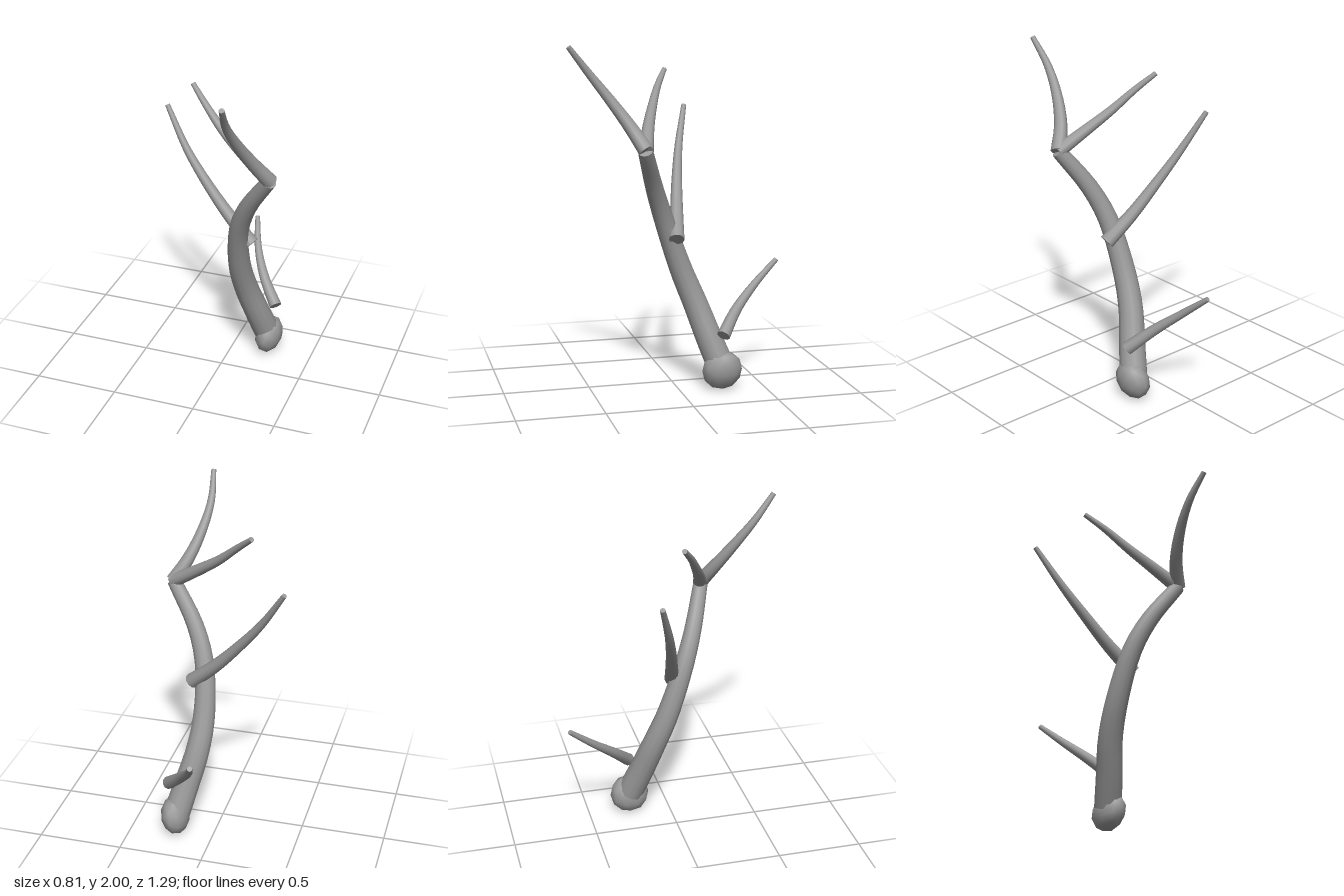
import * as THREE from 'three';
import { mergeGeometries, mergeVertices } from 'three/addons/utils/BufferGeometryUtils.js';

const material = new THREE.MeshStandardMaterial({ color: 0x999999 });

// Curved, tapering horn with flat end caps, through the given points
function horn(name, points, r0, r1, power = 1, sides = 10, rings = 14) {
  const curve = new THREE.CatmullRomCurve3(points.map(p => new THREE.Vector3(...p)), false, 'centripetal');
  const tube = new THREE.TubeGeometry(curve, rings, 1, sides);
  const pos = tube.attributes.position;
  const v = new THREE.Vector3();
  for (let i = 0; i <= rings; i++) {
    const centre = curve.getPointAt(i / rings);
    const radius = THREE.MathUtils.lerp(r0, r1, (i / rings) ** power);
    for (let j = 0; j <= sides; j++) {
      const k = i * (sides + 1) + j;
      v.fromBufferAttribute(pos, k).sub(centre).multiplyScalar(radius).add(centre);
      pos.setXYZ(k, v.x, v.y, v.z);
    }
  }
  const caps = [[0, r0, -1], [rings, r1, 1]].map(([i, radius, dir]) => {
    const frame = new THREE.Matrix4().makeBasis(
      tube.normals[i].clone(),
      tube.binormals[i].clone().multiplyScalar(dir),
      tube.tangents[i].clone().multiplyScalar(dir)
    ).setPosition(curve.getPointAt(i / rings));
    return new THREE.CircleGeometry(radius, sides).applyMatrix4(frame);
  });
  const mesh = new THREE.Mesh(mergeGeometries([tube, ...caps]), material);
  mesh.name = name;
  return mesh;
}

export function createModel() {
  const antler = new THREE.Group();
  antler.name = 'antler';

  // Main beam, bowed sideways and leaning forward
  antler.add(horn('mainBeam', [
    [0.22, 0.14, -0.24], [0.178, 0.3, -0.18], [0.128, 0.5, -0.11], [0.108, 0.7, -0.03],
    [0.135, 1.0, 0.078], [0.21, 1.2, 0.153], [0.362, 1.432, 0.24]
  ], 0.081, 0.043, 1.15, 12, 20));

  // Tines, each starting slightly proud of the beam
  antler.add(horn('browTine', [
    [0.27, 0.335, -0.24], [0.16, 0.458, -0.35], [0.074, 0.583, -0.488], [0.019, 0.712, -0.638]
  ], 0.039, 0.015));
  antler.add(horn('middleTine', [
    [0.197, 0.898, 0.02], [0.04, 1.04, -0.02], [-0.11, 1.205, -0.06],
    [-0.25, 1.38, -0.107], [-0.393, 1.608, -0.177]
  ], 0.045, 0.015));
  antler.add(horn('innerCrownTine', [
    [0.367, 1.433, 0.237], [0.2, 1.54, 0.185], [0.06, 1.64, 0.13], [-0.06, 1.748, 0.07], [-0.163, 1.841, 0.003]
  ], 0.042, 0.015));
  antler.add(horn('frontCrownTine', [
    [0.367, 1.433, 0.237], [0.293, 1.553, 0.305], [0.237, 1.698, 0.405], [0.211, 1.848, 0.52], [0.227, 1.995, 0.635]
  ], 0.045, 0.015));

  // Rounded, faceted-outline burr at the root
  const ball = new THREE.IcosahedronGeometry(1, 1);
  ball.deleteAttribute('normal');
  ball.deleteAttribute('uv');
  const burrGeometry = mergeVertices(ball, 1e-3);
  burrGeometry.computeVertexNormals();
  const burr = new THREE.Mesh(burrGeometry, material);
  burr.name = 'burr';
  burr.scale.set(0.083, 0.119, 0.12);
  burr.rotation.z = -0.2;
  burr.position.set(0.23, 0.119, -0.245);
  antler.add(burr);

  // Stand the lowest point on the ground
  antler.updateMatrixWorld(true);
  antler.position.y = -new THREE.Box3().setFromObject(antler, true).min.y;
  return antler;
}
